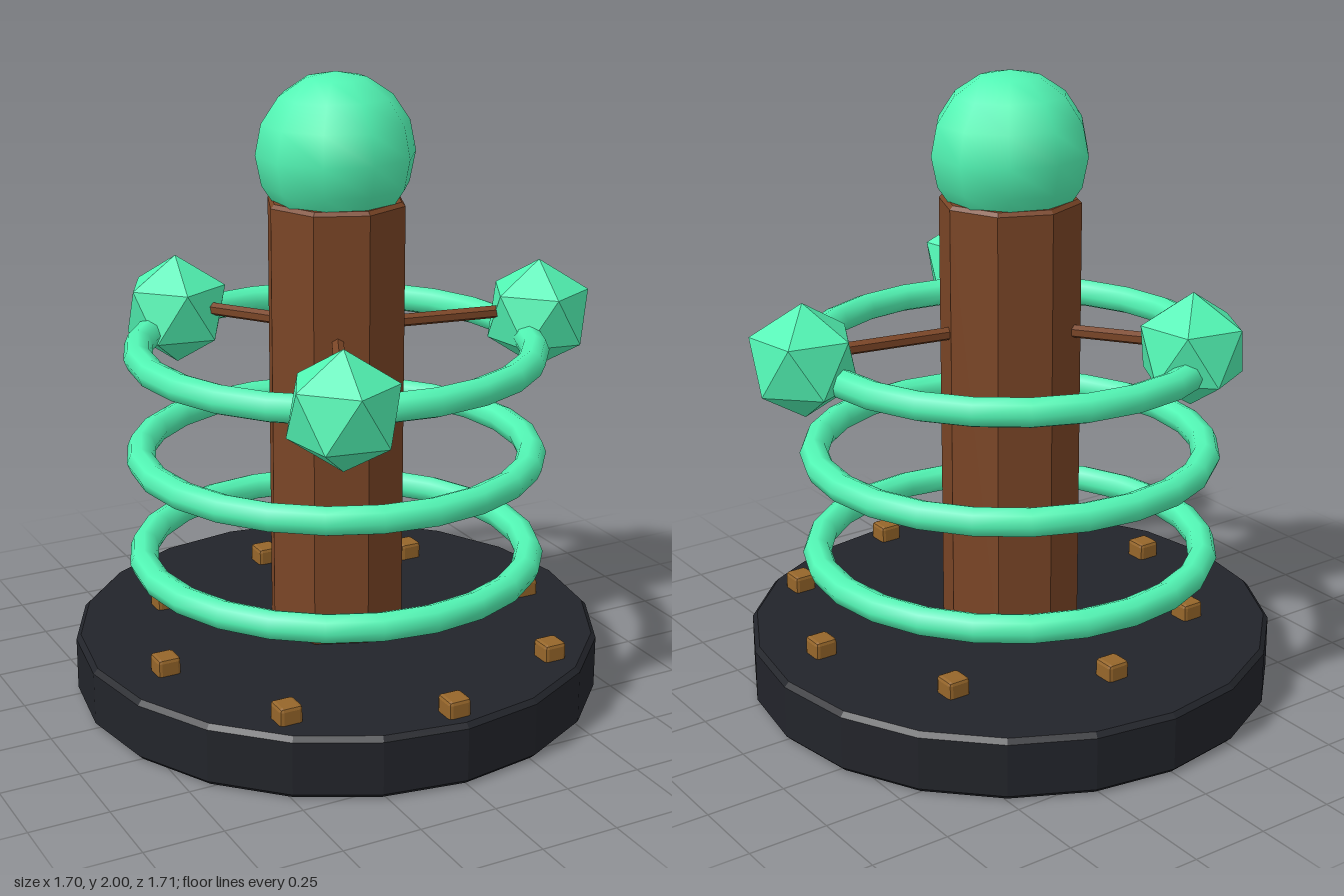
import * as THREE from 'three';
import { RoundedBoxGeometry } from 'three/addons/geometries/RoundedBoxGeometry.js';

const paint = (color, flatShading) => new THREE.MeshStandardMaterial({ color, flatShading });
const mint = paint(0x52f5b4, false);
const mintFacet = paint(0x52f5b4, true);
const wood = paint(0x7a4526, true);
const dark = paint(0x22242a, true);
const brass = paint(0x96662a, true);

const AXIS_Z = -0.006; // column, rings and base
const OUTER_Z = 0.105; // circle of orbs and studs

// Upright prism with chamfered rims
function chamferedPrism(radius, y0, y1, sides, c) {
  const profile = [[0, y0], [radius - c, y0], [radius, y0 + c], [radius, y1 - c], [radius - c, y1], [0, y1]];
  return new THREE.LatheGeometry(profile.map(([x, y]) => new THREE.Vector2(x, y)), sides);
}

export function createModel() {
  const group = new THREE.Group();
  const add = (name, geometry, material, x = 0, y = 0, z = AXIS_Z) => {
    const mesh = new THREE.Mesh(geometry, material);
    mesh.name = name;
    mesh.position.set(x, y, z);
    group.add(mesh);
    return mesh;
  };

  // Base and column
  add('base', chamferedPrism(0.85, 0, 0.2, 20, 0.015), dark);
  add('column', chamferedPrism(0.223, 0.19, 1.61, 8, 0.012), wood);

  // Large sphere on top of the column
  add('topSphere', new THREE.SphereGeometry(0.25, 10, 8, Math.PI / 2), mint, 0, 1.75);

  // Three stacked rings
  const ringGeometry = new THREE.TorusGeometry(0.625, 0.046, 8, 24).rotateX(Math.PI / 2);
  for (const y of [0.447, 0.79, 1.13]) add('ring', ringGeometry, mint, 0, y);

  // Three faceted orbs, each held by a rod from the column
  const orbGeometry = new THREE.IcosahedronGeometry(0.18, 0).rotateZ(Math.atan(2 / (1 + Math.sqrt(5))));
  const start = new THREE.Vector3(0, 1.197, AXIS_Z);
  for (let i = 0; i < 3; i++) {
    const a = (i * Math.PI * 2) / 3;
    const orb = add('orb', orbGeometry, mintFacet, 0.68 * Math.cos(a), 1.18, OUTER_Z + 0.68 * Math.sin(a));
    orb.rotation.y = 0.15;
    const end = new THREE.Vector3(orb.position.x, start.y, orb.position.z);
    add('rod', new THREE.TubeGeometry(new THREE.LineCurve3(start, end), 1, 0.021, 6), wood, 0, 0, 0);
  }

  // Eight studs on the base
  const studGeometry = new RoundedBoxGeometry(0.076, 0.076, 0.076, 1, 0.012);
  for (let i = 0; i < 8; i++) {
    const a = (i * Math.PI) / 4;
    add('stud', studGeometry, brass, 0.653 * Math.cos(a), 0.217, OUTER_Z + 0.653 * Math.sin(a));
  }
  return group;
}
